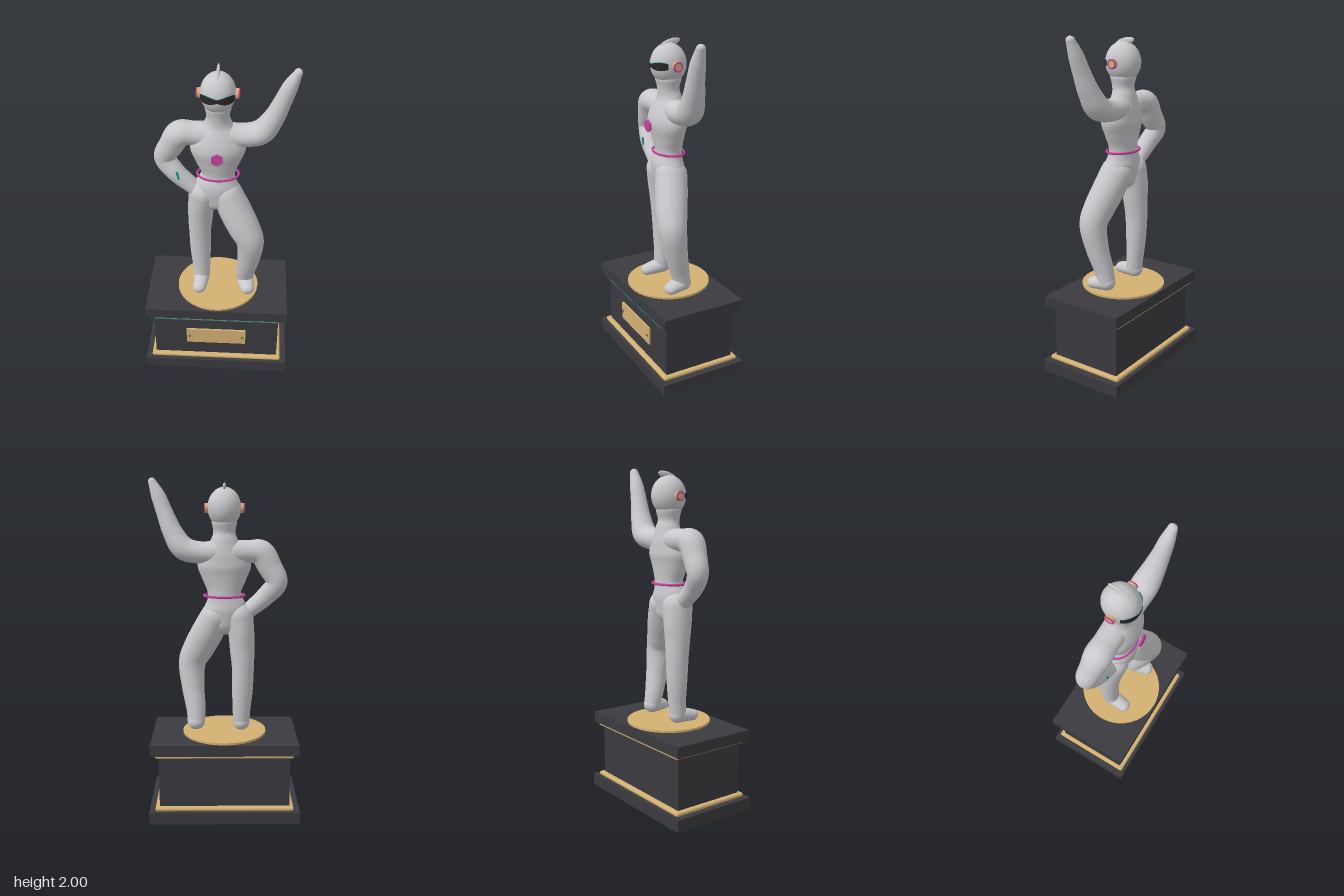
import * as THREE from 'three';
import { RoundedBoxGeometry } from 'three/addons/geometries/RoundedBoxGeometry.js';

const material = (name, color, side = THREE.FrontSide) => {
  const m = new THREE.MeshStandardMaterial({ color, side });
  m.name = name;
  return m;
};

// Smooth limb: rows of [x, y, z, a, b]; a is the radius along ref, b across it. Ends are domed.
function limb(rows, ref, sides = 32) {
  const path = new THREE.CatmullRomCurve3(rows.map(r => new THREE.Vector3(r[0], r[1], r[2])));
  const size = new THREE.CatmullRomCurve3(rows.map(r => new THREE.Vector3(r[3], r[4], 0)));
  const rings = [];
  const dome = 8, steps = (rows.length - 1) * 8;
  const ring = (t, angle, dir) => {
    const s = size.getPoint(t), tangent = path.getTangent(t);
    const center = path.getPoint(t).addScaledVector(tangent, dir * Math.sin(angle) * Math.min(s.x, s.y));
    rings.push({ center, tangent, a: s.x * Math.cos(angle), b: s.y * Math.cos(angle) });
  };
  for (let i = dome; i > 0; i--) ring(0, i / dome * 1.569, -1);
  for (let i = 0; i <= steps; i++) ring(i / steps, 0, 0);
  for (let i = 1; i <= dome; i++) ring(1, i / dome * 1.569, 1);

  const pos = [], index = [];
  rings.forEach(({ center, tangent, a, b }, j) => {
    const u = ref.clone().addScaledVector(tangent, -ref.dot(tangent)).normalize();
    const v = new THREE.Vector3().crossVectors(tangent, u);
    for (let i = 0; i < sides; i++) {
      const q = i / sides * Math.PI * 2;
      const p = center.clone().addScaledVector(u, a * Math.cos(q)).addScaledVector(v, b * Math.sin(q));
      pos.push(p.x, p.y, p.z);
      if (j === rings.length - 1) continue;
      const k = j * sides, n = (i + 1) % sides;
      index.push(k + i, k + n, k + sides + n, k + i, k + sides + n, k + sides + i);
    }
  });
  const g = new THREE.BufferGeometry();
  g.setAttribute('position', new THREE.Float32BufferAttribute(pos, 3));
  g.setIndex(index);
  g.computeVertexNormals();
  return g;
}

// Curved band around the face, tall over each eye and narrow over the nose
function visorBand(rx, rz, extra) {
  const arc = 1.1;
  const g = new THREE.CylinderGeometry(1, 1, 2, 40, 1, true, -arc, arc * 2);
  const p = g.attributes.position;
  for (let i = 0; i < p.count; i++) {
    const q = Math.atan2(p.getX(i), p.getZ(i));
    const half = 0.009 + 0.013 * Math.sin(Math.min(Math.abs(q) / arc, 1) * Math.PI * 0.85);
    p.setXYZ(i, p.getX(i) * rx, p.getY(i) * half + extra, p.getZ(i) * rz);
  }
  g.computeVertexNormals();
  return g;
}

export function createModel() {
  const model = new THREE.Group();
  const silver = material('silver', 0xc9c9cd);
  const black = material('plinth black', 0x3a3a3f);
  const gold = material('gold', 0xd2b072);
  const darkGold = material('dark gold', 0x8a6f42);
  const pink = material('pink', 0xc8429e);
  const teal = material('teal', 0x1c918c, THREE.DoubleSide);
  const lens = material('visor black', 0x28282d, THREE.DoubleSide);
  const X = new THREE.Vector3(1, 0, 0), Z = new THREE.Vector3(0, 0, 1);

  const add = (name, geometry, mat, x = 0, y = 0, z = 0, parent = model) => {
    const mesh = new THREE.Mesh(geometry, mat);
    mesh.name = name;
    mesh.position.set(x, y, z);
    parent.add(mesh);
    return mesh;
  };

  // Plinth
  const plinth = new THREE.Group();
  plinth.name = 'plinth';
  model.add(plinth);
  const slab = (name, w, y0, y1, d, mat) =>
    add(name, new THREE.BoxGeometry(w, y1 - y0, d), mat, 0, (y0 + y1) / 2, 0, plinth);
  slab('plinthFoot', 0.89, 0, 0.072, 0.54, black);
  slab('plinthBlock', 0.77, 0.07, 0.43, 0.445, black);
  slab('plinthTop', 0.866, 0.422, 0.488, 0.52, black);
  add('lowerTrim', new RoundedBoxGeometry(0.82, 0.026, 0.5, 4, 0.012), gold, 0, 0.083, 0, plinth);
  add('upperTrim', new RoundedBoxGeometry(0.81, 0.022, 0.5, 4, 0.01), gold, 0, 0.414, 0, plinth);
  add('lightStrip', new THREE.BoxGeometry(0.77, 0.007, 0.008), teal, 0, 0.401, 0.241, plinth);
  add('standDisc', new THREE.CylinderGeometry(0.25, 0.25, 0.014, 64), gold, 0, 0.494, 0, plinth);

  // Name plate left blank, with a screw at each end
  add('plate', new THREE.BoxGeometry(0.37, 0.11, 0.012), gold, 0, 0.25, 0.228, plinth);
  for (const s of [-1, 1]) {
    const screw = new THREE.CylinderGeometry(0.008, 0.008, 0.006, 16).rotateX(Math.PI / 2);
    add('plateScrew', screw, darkGold, s * 0.165, 0.25, 0.236, plinth);
  }

  // Torso and neck
  add('torso', limb([
    [0.005, 1.17, 0.005, 0.10, 0.08], [-0.005, 1.25, 0.005, 0.125, 0.088],
    [0, 1.33, 0, 0.096, 0.074], [0, 1.42, 0.005, 0.128, 0.084],
    [0, 1.5, 0.008, 0.155, 0.098], [0, 1.57, 0, 0.138, 0.088],
    [0, 1.635, -0.005, 0.085, 0.07], [0, 1.69, 0, 0.064, 0.062], [0, 1.745, 0, 0.073, 0.075],
  ], X, 48), silver);

  // Legs: one straight, one bent forward at the knee
  add('rightLeg', limb([
    [-0.085, 1.2, 0, 0.085, 0.09], [-0.1, 1.1, -0.01, 0.077, 0.085],
    [-0.106, 1.0, -0.015, 0.073, 0.074], [-0.11, 0.9, -0.02, 0.066, 0.068],
    [-0.108, 0.75, -0.02, 0.062, 0.06], [-0.103, 0.62, -0.015, 0.053, 0.052],
    [-0.103, 0.555, -0.01, 0.05, 0.05],
  ], X), silver);
  add('leftLeg', limb([
    [0.055, 1.2, 0.01, 0.085, 0.095], [0.1, 1.1, 0.035, 0.095, 0.095],
    [0.152, 1.0, 0.062, 0.093, 0.09], [0.193, 0.91, 0.076, 0.083, 0.082],
    [0.19, 0.76, 0.052, 0.069, 0.068], [0.172, 0.62, 0.015, 0.058, 0.056],
    [0.17, 0.555, 0, 0.053, 0.05],
  ], X), silver);
  add('rightFoot', limb([
    [-0.103, 0.55, -0.015, 0.048, 0.048], [-0.107, 0.543, 0.04, 0.046, 0.042],
    [-0.112, 0.535, 0.092, 0.04, 0.034],
  ], X), silver);
  add('leftFoot', limb([
    [0.17, 0.55, -0.005, 0.052, 0.048], [0.178, 0.543, 0.04, 0.05, 0.042],
    [0.188, 0.535, 0.088, 0.043, 0.034],
  ], X), silver);

  // Arms: one hand on the hip, one raised
  add('rightArm', limb([
    [-0.05, 1.575, -0.005, 0.075, 0.07], [-0.14, 1.58, -0.005, 0.072, 0.066],
    [-0.212, 1.574, -0.005, 0.078, 0.073], [-0.262, 1.495, -0.015, 0.069, 0.07],
    [-0.303, 1.405, -0.027, 0.06, 0.062], [-0.245, 1.325, -0.005, 0.055, 0.056],
    [-0.145, 1.235, 0.005, 0.05, 0.046],
  ], Z), silver);
  add('leftArm', limb([
    [0.05, 1.575, -0.005, 0.075, 0.07], [0.14, 1.575, -0.005, 0.074, 0.064],
    [0.235, 1.6, 0, 0.077, 0.068], [0.297, 1.69, 0.013, 0.064, 0.058],
    [0.342, 1.8, 0.027, 0.05, 0.048], [0.376, 1.89, 0.035, 0.042, 0.042],
    [0.412, 1.972, 0.042, 0.026, 0.023],
  ], Z), silver);

  // Head with a crest
  const head = new THREE.Group();
  head.name = 'head';
  head.position.y = 1.83;
  model.add(head);
  add('skull', new THREE.SphereGeometry(1, 48, 32), silver, 0, 0, 0, head).scale.set(0.096, 0.115, 0.104);
  const crest = add('crest', new THREE.SphereGeometry(1, 24, 16), silver, 0, 0.112, -0.01, head);
  crest.scale.set(0.01, 0.022, 0.066);
  crest.rotation.x = 0.25;

  // Visor with a coloured upper edge
  add('visor', visorBand(0.102, 0.109, 0), lens, 0, -0.003, 0, head);
  add('visorEdge', visorBand(0.1005, 0.1075, 0.003), teal, 0, -0.003, 0, head);

  // Ear pieces
  for (const s of [-1, 1]) {
    const cup = new THREE.CylinderGeometry(0.028, 0.028, 0.026, 32).rotateZ(Math.PI / 2);
    add(s > 0 ? 'leftEarPiece' : 'rightEarPiece', cup, gold, s * 0.1, -0.003, 0, head);
    const rim = new THREE.TorusGeometry(0.024, 0.005, 10, 32).rotateY(Math.PI / 2);
    add(s > 0 ? 'leftEarRim' : 'rightEarRim', rim, pink, s * 0.112, -0.003, 0, head);
  }

  // Chest badge, waist ring and forearm mark
  add('chestBadge', new THREE.CylinderGeometry(0.035, 0.035, 0.012, 6).rotateX(Math.PI / 2), pink, 0, 1.49, 0.131);
  const belt = add('waistRing', new THREE.TorusGeometry(1, 0.06, 10, 64).rotateX(Math.PI / 2), pink, 0, 1.325, 0);
  belt.scale.set(0.118, 0.12, 0.084);
  const mark = add('forearmMark', new THREE.BoxGeometry(0.012, 0.05, 0.008), teal, -0.225, 1.33, 0.049);
  mark.rotation.z = 0.25;

  return model;
}
